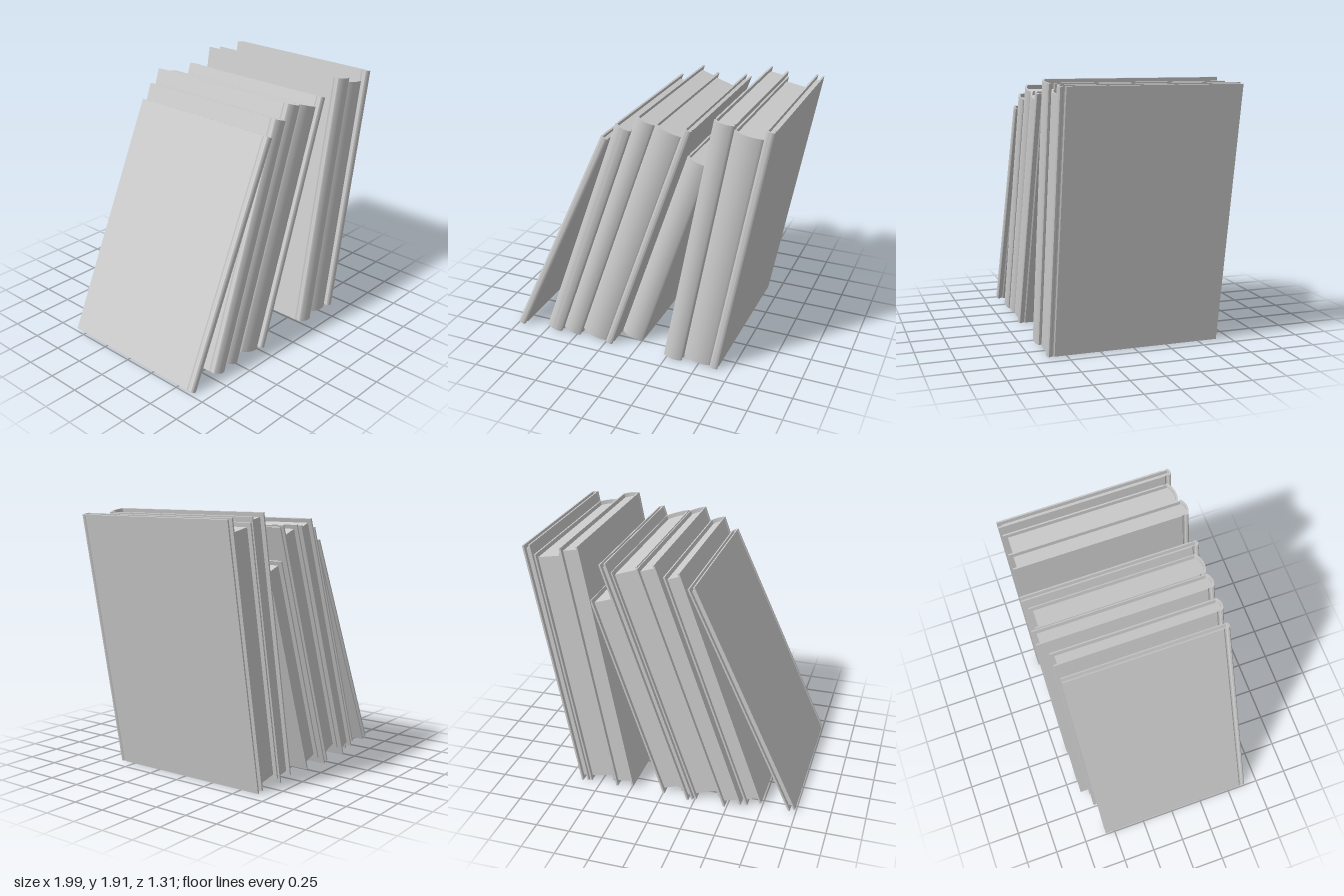
import * as THREE from 'three';
import { toCreasedNormals } from 'three/addons/utils/BufferGeometryUtils.js';

const material = new THREE.MeshStandardMaterial({ color: 0xcccccc });

// Extrudes an outline of [x, z] points upwards from y0 to y1
function prism(points, y0, y1) {
  const shape = new THREE.Shape(points.map(([x, z]) => new THREE.Vector2(x, -z)));
  const geo = new THREE.ExtrudeGeometry(shape, { depth: y1 - y0, bevelEnabled: false });
  geo.rotateX(-Math.PI / 2).translate(0, y0, 0);
  return toCreasedNormals(geo, 0.5);
}

// Curved spine line from -x to +x, bulging forwards by b from z
function spineArc(halfWidth, z, b, steps = 12) {
  return Array.from({ length: steps + 1 }, (_, i) => {
    const u = (i / steps) * 2 - 1;
    return [u * halfWidth, z + b * (1 - u * u)];
  });
}

// Closed hardback standing upright, spine at the front (+z), lower right edge at the origin
function createBook({ w, h, back, front }) {
  const book = new THREE.Group();
  const t = 0.013, groove = 0.006, inset = 0.03;
  const b = Math.min(0.025, w * 0.14);
  const s = w / 2, z = front - b;

  // Outer side of one board with its hinge groove, from back to front
  const side = [
    [s, back], [s, z - 0.045], [s - groove, z - 0.036],
    [s - groove, z - 0.026], [s, z - 0.016], [s, z - 0.004],
  ];
  const mirror = (pts) => pts.map(([x, zz]) => [-x, zz]);
  const inner = spineArc(s - t, z - t, b);

  const outline = [
    ...mirror(side), ...spineArc(s - 0.003, z, b), ...side.slice().reverse(),
    [s - t, back], ...inner.slice().reverse(), [-s + t, back],
  ];
  const cover = new THREE.Mesh(prism(outline, 0, h), material);
  cover.name = 'cover';

  // Page block, set in from the board edges
  const p = s - t + 0.001;
  const pages = new THREE.Mesh(prism([
    [-p, back + inset], ...spineArc(p, z - t, b), [p, back + inset],
  ], inset, h - inset), material);
  pages.name = 'pages';

  book.add(cover, pages);
  book.children.forEach((m) => { m.position.x = -s; });
  return book;
}

export function createModel() {
  const model = new THREE.Group();
  model.name = 'leaningBooks';

  // x: foot of the right board, lean: degrees towards +x
  const books = [
    { x: -0.945, lean: 24.8, w: 0.055, h: 1.835, back: -0.575, front: 0.65 },
    { x: -0.63, lean: 19.6, w: 0.122, h: 1.85, back: -0.595, front: 0.64 },
    { x: -0.475, lean: 19.4, w: 0.14, h: 1.915, back: -0.66, front: 0.63 },
    { x: -0.25, lean: 19.1, w: 0.205, h: 1.85, back: -0.63, front: 0.63 },
    { x: -0.195, lean: 19.0, w: 0.052, h: 1.91, back: -0.66, front: 0.64 },
    { x: 0, lean: 18.7, w: 0.17, h: 1.605, back: -0.63, front: 0.525 },
    { x: 0.37, lean: 10.5, w: 0.14, h: 1.92, back: -0.64, front: 0.65 },
    { x: 0.585, lean: 10.3, w: 0.205, h: 1.845, back: -0.63, front: 0.63 },
    { x: 0.65, lean: 10.3, w: 0.06, h: 1.91, back: -0.645, front: 0.64 },
  ];

  books.forEach((spec, i) => {
    const book = createBook(spec);
    book.name = `book${i + 1}`;
    book.position.set(spec.x, 0.008, 0);
    book.rotation.z = -THREE.MathUtils.degToRad(spec.lean);
    model.add(book);
  });
  return model;
}
